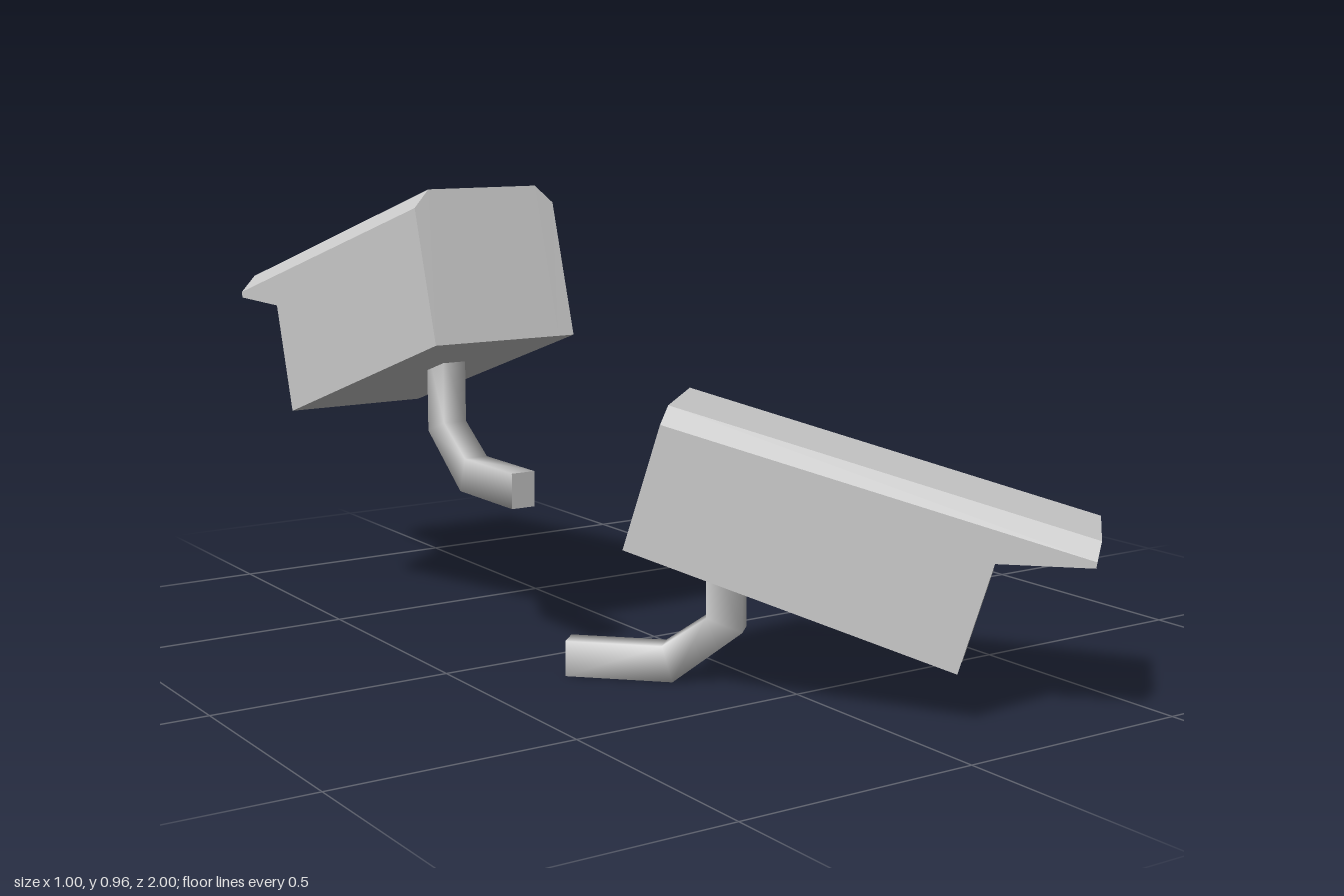
import * as THREE from 'three';

const grey = new THREE.MeshStandardMaterial({ color: 0xcccccc });
const darkGrey = new THREE.MeshStandardMaterial({ color: 0x666666 });

// Skins a row of equal-sized rings and closes both ends with the given triangles.
function loft(rings, capTriangles, flat) {
  const n = rings[0].length;
  const last = rings.length - 1;
  const positions = rings.flat(2);
  const index = [];
  for (let i = 0; i < last; i++) {
    for (let j = 0; j < n; j++) {
      const k = (j + 1) % n;
      const a = i * n + j, b = i * n + k;
      index.push(a, a + n, b + n, a, b + n, b);
    }
  }
  // Caps have their own corners so that their edges stay sharp.
  const start = positions.length / 3;
  positions.push(...rings[0].flat(), ...rings[last].flat());
  for (const [a, b, c] of capTriangles) {
    index.push(start + a, start + b, start + c);
    index.push(start + n + a, start + n + c, start + n + b);
  }
  let geometry = new THREE.BufferGeometry();
  geometry.setAttribute('position', new THREE.Float32BufferAttribute(positions, 3));
  geometry.setIndex(index);
  if (flat) geometry = geometry.toNonIndexed();
  geometry.computeVertexNormals();
  return geometry;
}

function addMesh(parent, name, geometry, material) {
  const mesh = new THREE.Mesh(geometry, material);
  mesh.name = name;
  parent.add(mesh);
  return mesh;
}

// Tilted housing with a visor; profiles are [forward, height].
function makeHousing() {
  const housing = new THREE.Group();
  housing.name = 'housing';
  const lower = [[0.02, 0.66], [0.72, 0.435], [0.79, 0.667], [0.99, 0.667]];
  const side = [...lower, [0.992, 0.68], [0.10, 0.925]];
  const middle = [...lower, [1.0, 0.715], [0.11, 0.96]];
  const ring = (x, profile) => profile.map(([z, y]) => [x, y, z]);
  const shell = loft(
    [ring(-0.158, side), ring(-0.122, middle), ring(0.122, middle), ring(0.158, side)],
    [[0, 1, 2], [0, 2, 5], [2, 3, 4], [2, 4, 5]], true);
  addMesh(housing, 'shell', shell, grey);

  // Window and lens lie on the tilted front face.
  const face = new THREE.Group();
  face.name = 'frontFace';
  face.position.set(0, 0.551, 0.755);
  face.rotation.x = Math.atan2(0.07, 0.232);
  addMesh(face, 'window', new THREE.BoxGeometry(0.27, 0.2, 0.004), darkGrey);
  addMesh(face, 'lens', new THREE.BoxGeometry(0.13, 0.069, 0.008), grey);
  housing.add(face);
  return housing;
}

// Bent rectangular arm between the wall and the housing, softly shaded.
function makeArm() {
  const outer = [[0.311, 0.62], [0.311, 0.437], [0.172, 0.329], [-0.045, 0.329]];
  const inner = [[0.239, 0.62], [0.239, 0.463], [0.15, 0.401], [-0.045, 0.401]];
  const h = 0.026;
  const rings = outer.map(([z, y], i) => {
    const [zi, yi] = inner[i];
    return [[-h, y, z], [h, y, z], [h, yi, zi], [-h, yi, zi]];
  });
  const arm = new THREE.Mesh(loft(rings, [[0, 1, 2], [0, 2, 3]], false), grey);
  arm.name = 'arm';
  return arm;
}

function makeCamera(name, turn, housingPosition, housingScale, armPosition) {
  const camera = new THREE.Group();
  camera.name = name;
  const housing = makeHousing();
  housing.position.set(...housingPosition);
  housing.scale.set(...housingScale);
  const arm = makeArm();
  arm.position.set(...armPosition);
  camera.add(housing, arm);
  camera.rotation.y = turn;
  return camera;
}

export function createModel() {
  const model = new THREE.Group();
  model.name = 'securityCameras';
  model.add(
    makeCamera('rearCamera', Math.PI, [0.3425, 0, 0], [1, 1, 1], [0.344, 0, 0]),
    makeCamera('frontCamera', Math.PI / 4,
      [-0.3545, -0.296, 0.022], [0.91, 0.91, 0.897], [-0.298, -0.329, -0.07]));
  return model;
}
